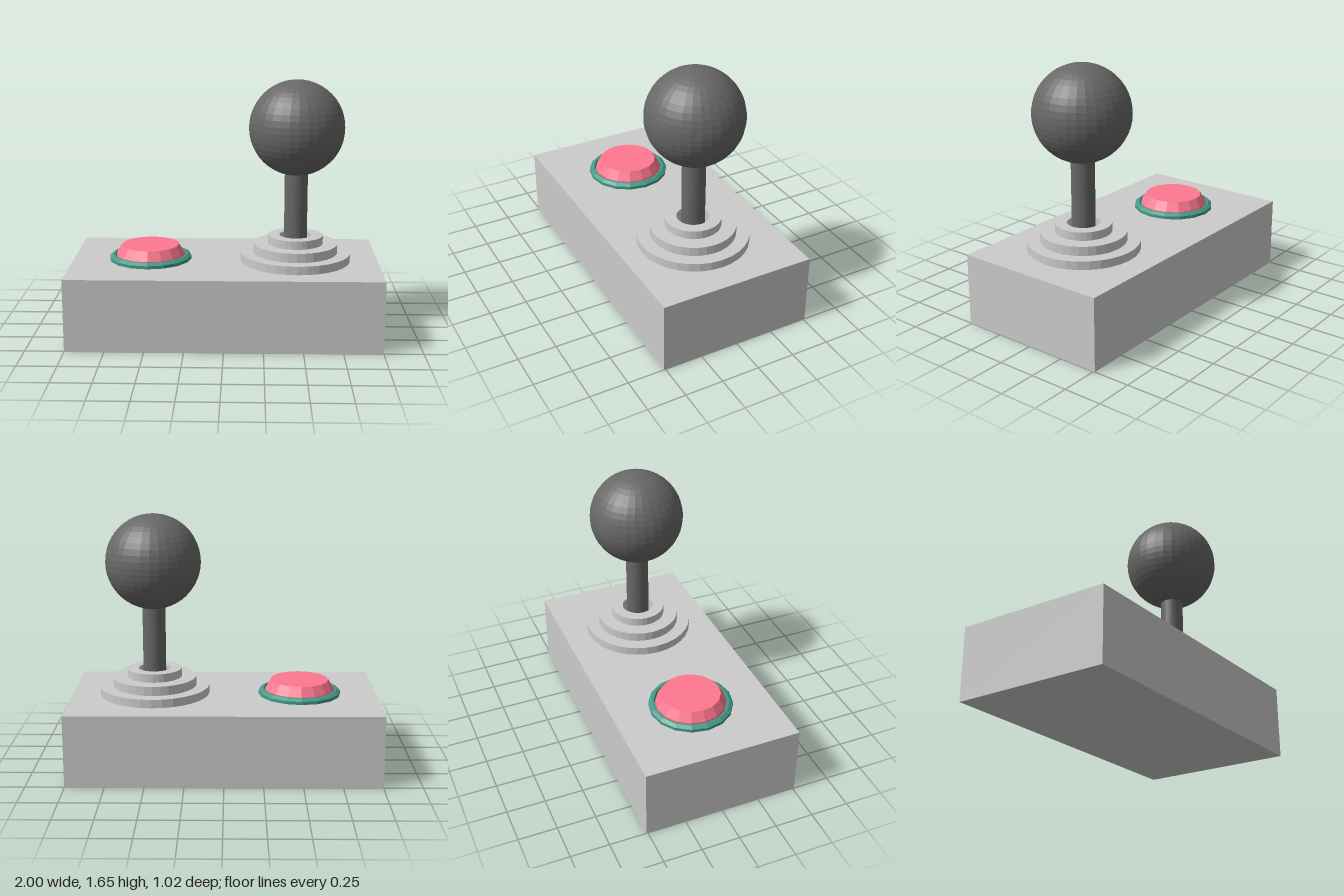
import * as THREE from 'three';

const mat = (color, flatShading = true) => new THREE.MeshStandardMaterial({ color, flatShading });

// Turned part from [radius, height] pairs, listed from the outside bottom upwards
function turned(name, profile, sides, material) {
  const points = profile.map(([r, y]) => new THREE.Vector2(r, y));
  const mesh = new THREE.Mesh(new THREE.LatheGeometry(points, sides), material);
  mesh.name = name;
  return mesh;
}

export function createModel() {
  const model = new THREE.Group();
  model.name = 'joystick';
  const grey = mat(0xcccccc);
  const dark = mat(0x686868);
  const top = 0.47;

  // Box-shaped housing
  const housing = new THREE.Mesh(new THREE.BoxGeometry(2, top, 1.02), grey);
  housing.name = 'housing';
  housing.position.y = top / 2;
  model.add(housing);

  // Stick assembly
  const stick = new THREE.Group();
  stick.name = 'stickAssembly';
  stick.position.set(0.46, top, 0.015);
  model.add(stick);

  // Three stepped rings with a socket down the middle
  const steps = [[0.36, 0.055], [0.275, 0.115], [0.18, 0.17]];
  const profile = [];
  let y = 0;
  for (const [r, h] of steps) {
    profile.push([r, y], [r, h]);
    y = h;
  }
  profile.push([0.105, y], [0.105, 0.002], [0, 0.002]);
  stick.add(turned('steppedCollar', profile, 32, grey));

  const shaft = new THREE.Mesh(new THREE.CylinderGeometry(0.075, 0.075, 0.65, 32), dark);
  shaft.name = 'shaft';
  shaft.position.y = 0.325;
  stick.add(shaft);

  const ball = new THREE.Mesh(new THREE.SphereGeometry(0.308, 32, 24), dark);
  ball.name = 'ballKnob';
  ball.position.y = 0.877;
  stick.add(ball);

  // Push button in its bevelled rim
  const button = new THREE.Group();
  button.name = 'buttonAssembly';
  button.position.set(-0.495, top, 0);
  model.add(button);
  button.add(turned('buttonRim',
    [[0.27, 0], [0.27, 0.02], [0.248, 0.035], [0.236, 0.035], [0.232, 0.01], [0.2, 0.01]], 16, mat(0x459a88)));
  button.add(turned('buttonCap',
    [[0.226, 0], [0.226, 0.035], [0.19, 0.096], [0, 0.096]], 16, mat(0xff7890)));

  return model;
}
